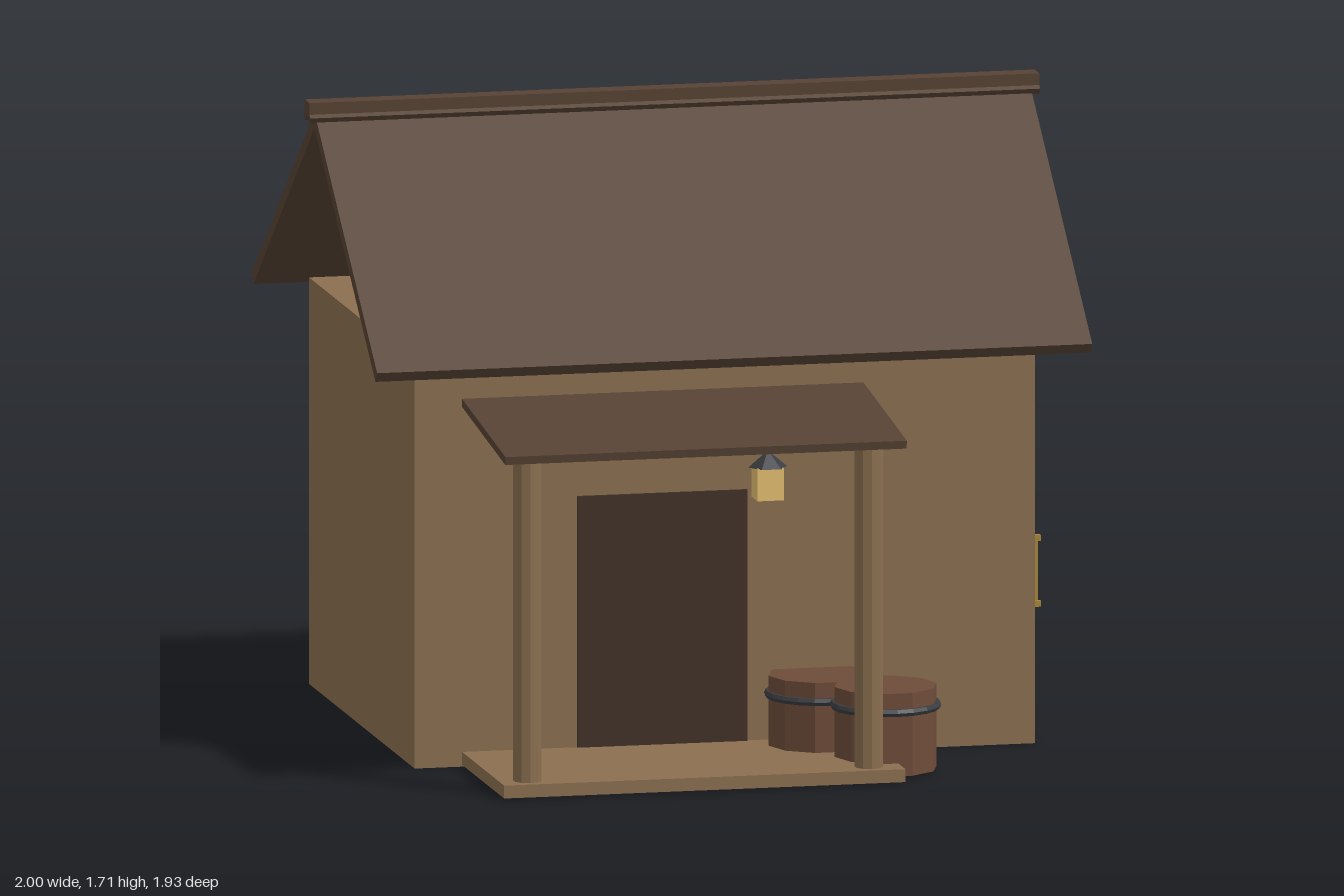
import * as THREE from 'three';

const mat = (color) => new THREE.MeshStandardMaterial({ color, flatShading: true });
const WALL = mat(0x8b6f50), ROOF = mat(0x574334), DOOR = mat(0x403126), BARREL = mat(0x6e4c3a);
const IRON = mat(0x3a3c40), BRASS = mat(0xa8893a), GLOW = mat(0xe6bf72);

function add(parent, name, geometry, material, x = 0, y = 0, z = 0) {
  const mesh = new THREE.Mesh(geometry, material);
  mesh.name = name;
  mesh.position.set(x, y, z);
  parent.add(mesh);
  return mesh;
}

// Box given by its lower and upper limits on each axis
function block(parent, name, material, [x0, x1], [y0, y1], [z0, z1]) {
  return add(parent, name, new THREE.BoxGeometry(x1 - x0, y1 - y0, z1 - z0), material,
    (x0 + x1) / 2, (y0 + y1) / 2, (z0 + z1) / 2);
}

// Sloping board whose centre line runs from (y0, z0) to (y1, z1)
function board(parent, name, material, [x0, x1], [y0, z0], [y1, z1], thickness) {
  const length = Math.hypot(y1 - y0, z1 - z0);
  const mesh = add(parent, name, new THREE.BoxGeometry(x1 - x0, thickness, length), material,
    (x0 + x1) / 2, (y0 + y1) / 2, (z0 + z1) / 2);
  mesh.rotation.x = -Math.atan2(y1 - y0, z1 - z0);
  return mesh;
}

function makeBarrel(x, z) {
  const barrel = new THREE.Group();
  barrel.name = 'barrel';
  barrel.position.set(x, 0, z);
  const body = add(barrel, 'barrelBody', new THREE.CylinderGeometry(0.14, 0.14, 0.225, 10), BARREL, 0, 0.1225, 0);
  body.rotation.y = Math.PI / 2;
  const hoop = add(barrel, 'barrelHoop', new THREE.TorusGeometry(0.139, 0.011, 6, 20), IRON, 0, 0.183, 0);
  hoop.rotation.x = Math.PI / 2;
  return barrel;
}

function makeLantern() {
  const lantern = new THREE.Group();
  lantern.name = 'lantern';
  lantern.position.set(0.06, 0, 0.695);
  add(lantern, 'lanternCord', new THREE.CylinderGeometry(0.005, 0.005, 0.075, 6), IRON, 0, 0.91, 0);
  add(lantern, 'lanternCap', new THREE.ConeGeometry(0.053, 0.045, 6), IRON, 0, 0.857, 0).rotation.y = Math.PI / 6;
  block(lantern, 'lanternGlass', GLOW, [-0.036, 0.036], [0.748, 0.836], [-0.036, 0.036]);
  return lantern;
}

function makeHandle() {
  const handle = new THREE.Group();
  handle.name = 'sideHandle';
  block(handle, 'handleBar', BRASS, [0.853, 0.861], [0.385, 0.56], [0.41, 0.428]);
  for (const y of [0.383, 0.562]) block(handle, 'handleMount', BRASS, [0.845, 0.867], [y - 0.008, y + 0.008], [0.424, 0.438]);
  return handle;
}

export function createModel() {
  const house = new THREE.Group();
  house.name = 'cottage';

  block(house, 'walls', WALL, [-0.85, 0.85], [0.005, 1.11], [-0.84, 0.44]);
  block(house, 'door', DOOR, [-0.405, 0.06], [0.01, 0.728], [0.43, 0.448]);

  // Gabled roof, open at both ends, with a capped ridge
  const ridgeZ = -0.2;
  for (const s of [-1, 1]) {
    board(house, 'roofSlope', ROOF, [-0.98, 0.98], [1.658, ridgeZ], [1.093, ridgeZ + s * 0.75], 0.034);
    board(house, 'ridgeFlashing', ROOF, [-1, 1], [1.687, ridgeZ], [1.662, ridgeZ + s * 0.034], 0.02);
  }
  block(house, 'ridgeCap', ROOF, [-1, 1], [1.675, 1.71], [ridgeZ - 0.029, ridgeZ + 0.029]);

  // Porch
  block(house, 'porchFloor', WALL, [-0.72, 0.38], [0.01, 0.045], [0.44, 0.95]);
  board(house, 'porchRoof', ROOF, [-0.72, 0.38], [0.995, 0.43], [0.93, 0.965], 0.022);
  for (const x of [-0.643, 0.293]) {
    add(house, 'porchPost', new THREE.CylinderGeometry(0.038, 0.038, 0.885, 10), WALL, x, 0.4825, 0.89);
  }

  house.add(makeLantern(), makeHandle(), makeBarrel(0.375, 0.73), makeBarrel(0.24, 0.53));
  return house;
}
